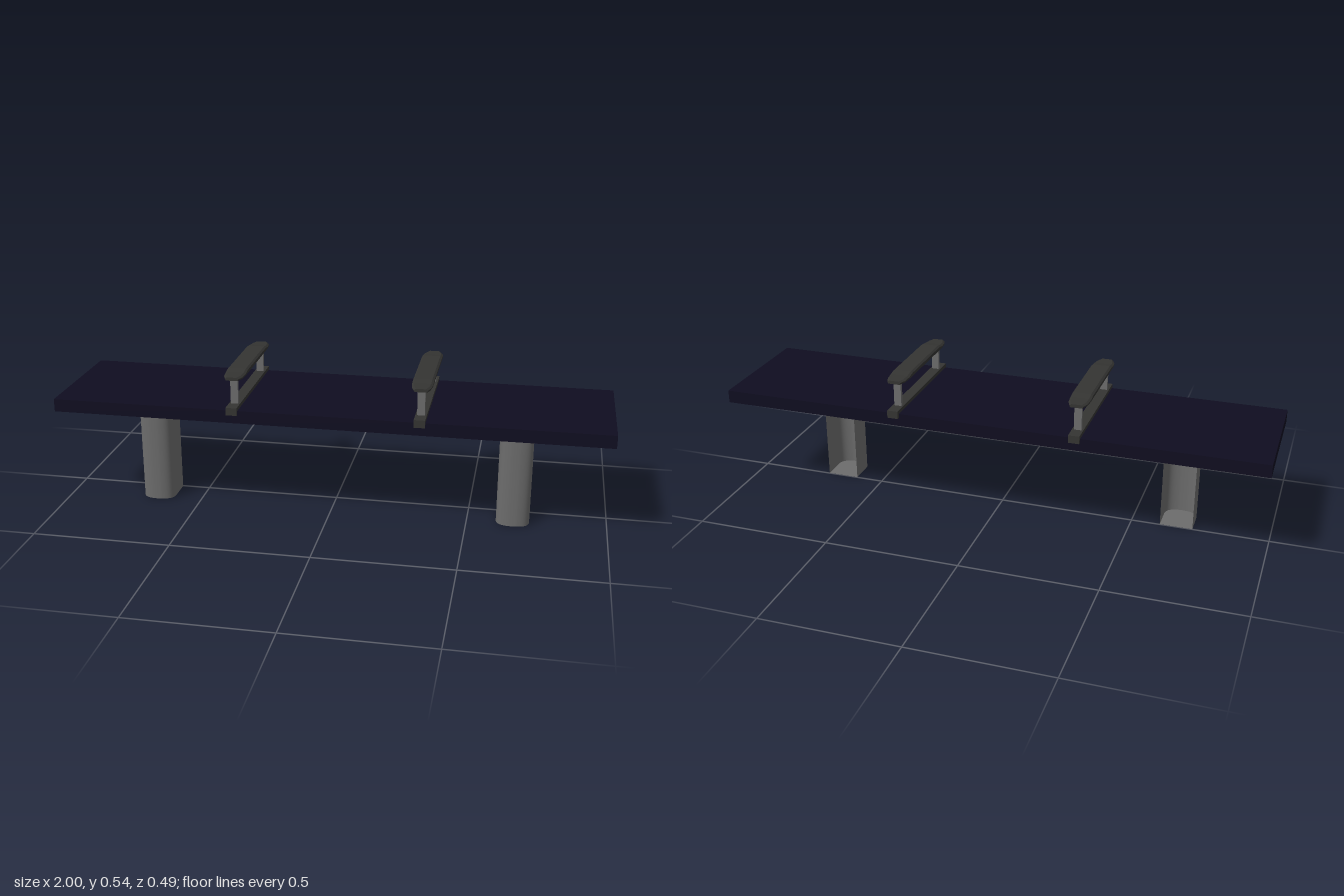
import * as THREE from 'three';

const paint = (color, extra = {}) => {
  const m = new THREE.MeshStandardMaterial({ color, ...extra });
  return m;
};

// Box between two heights whose bottom (or top) rectangle is drawn in
function taperedBox(w, y0, y1, d, insetX, insetZ) {
  const g = new THREE.BoxGeometry(w, y1 - y0, d).toNonIndexed();
  const p = g.attributes.position;
  for (let i = 0; i < p.count; i++) {
    if (p.getY(i) > 0) continue;
    p.setX(i, p.getX(i) - Math.sign(p.getX(i)) * insetX);
    p.setZ(i, p.getZ(i) - Math.sign(p.getZ(i)) * insetZ);
  }
  g.translate(0, (y0 + y1) / 2, 0);
  g.computeVertexNormals();
  return g;
}

// Armrest pad: cross-sections [z, half width, top height] joined along z
function padGeometry() {
  const half = [[0.135, 0.037, 0.541], [0.165, 0.037, 0.536], [0.195, 0.034, 0.534], [0.221, 0.024, 0.533]];
  const stations = [...half.map(([z, w, t]) => [-z, w, t]).reverse(), ...half];
  const rings = stations.map(([z, w, t]) => [
    [-w + 0.003, 0.521], [w - 0.003, 0.521], [w, 0.526], [w, t - 0.005],
    [w - 0.007, t], [-w + 0.007, t], [-w, t - 0.005], [-w, 0.526],
  ].map(([x, y]) => [x, y, z]));
  const pos = [];
  const tri = (...c) => c.forEach((v) => pos.push(...v));
  const n = rings[0].length;
  for (let s = 0; s < rings.length - 1; s++) {
    for (let i = 0; i < n; i++) {
      const j = (i + 1) % n, a = rings[s], b = rings[s + 1];
      tri(a[i], a[j], b[j]);
      tri(a[i], b[j], b[i]);
    }
  }
  // Flat ends
  const first = rings[0], last = rings[rings.length - 1];
  for (let i = 1; i < n - 1; i++) {
    tri(first[0], first[i + 1], first[i]);
    tri(last[0], last[i], last[i + 1]);
  }
  const g = new THREE.BufferGeometry();
  g.setAttribute('position', new THREE.Float32BufferAttribute(pos, 3));
  g.computeVertexNormals();
  return g;
}

// Leg plan: straight sides, rounded front corners, back edge at z = 0
function legPlan() {
  const s = new THREE.Shape();
  s.moveTo(-0.06, 0);
  s.lineTo(-0.06, 0.04);
  s.lineTo(-0.06, 0.085);
  s.bezierCurveTo(-0.06, 0.112, -0.045, 0.124, -0.018, 0.129);
  s.quadraticCurveTo(0, 0.131, 0.018, 0.129);
  s.bezierCurveTo(0.045, 0.124, 0.06, 0.112, 0.06, 0.085);
  s.lineTo(0.06, 0.04);
  s.lineTo(0.06, 0);
  return s;
}

// Thin wall following the plan, open at the back
function legWall(plan, height) {
  const pts = plan.getPoints(8);
  const g = new THREE.PlaneGeometry(1, height, pts.length - 1, 1);
  const p = g.attributes.position;
  for (let i = 0; i < p.count; i++) {
    const q = pts[i % pts.length];
    p.setXYZ(i, q.x, p.getY(i) + height / 2, q.y);
  }
  g.computeVertexNormals();
  return g;
}

export function createModel() {
  const root = new THREE.Group();
  root.name = 'bench';
  const navy = paint(0x0f0d20);
  const underside = paint(0x1b1b1b);
  const dark = paint(0x343432);
  const steel = paint(0x6c6c6c, { side: THREE.DoubleSide });

  const add = (parent, name, geometry, material, x = 0, y = 0, z = 0) => {
    const m = new THREE.Mesh(geometry, material);
    m.name = name;
    m.position.set(x, y, z);
    parent.add(m);
    return m;
  };

  // Three seat panels with bevelled undersides
  const third = 2 / 3;
  const seatGeo = new THREE.BoxGeometry(third, 0.047, 0.468);
  const underGeo = taperedBox(third, 0.342, 0.367, 0.468, 0.038, 0.07);
  for (const i of [-1, 0, 1]) {
    add(root, 'seatPanel', seatGeo, navy, i * third, 0.3905, 0.002);
    add(root, 'seatUnderside', underGeo, underside, i * third, 0, 0.002);
  }

  // Armrests over the two panel joints
  const pad = padGeometry();
  const barGeo = new THREE.BoxGeometry(0.04, 0.028, 0.489);
  const postGeo = new THREE.BoxGeometry(0.027, 0.1, 0.013);
  for (const side of [-1, 1]) {
    const arm = new THREE.Group();
    arm.name = side > 0 ? 'leftArmrest' : 'rightArmrest';
    arm.position.set(side / 3, 0, 0.002);
    add(arm, 'armrestPad', pad, dark);
    add(arm, 'armrestBar', barGeo, dark, 0, 0.413, -0.001);
    for (const z of [-0.187, 0.187]) add(arm, 'armrestPost', postGeo, steel, 0, 0.474, z);
    root.add(arm);
  }

  // Open-backed legs with a floor plate
  const plan = legPlan();
  const wall = legWall(plan, 0.345);
  const plate = new THREE.ShapeGeometry(plan, 8).rotateX(Math.PI / 2);
  for (const side of [-1, 1]) {
    const leg = new THREE.Group();
    leg.name = side > 0 ? 'leftLeg' : 'rightLeg';
    leg.position.set(side * 0.665, 0, 0.002);
    add(leg, 'legWall', wall, steel);
    add(leg, 'legBasePlate', plate, steel);
    root.add(leg);
  }
  return root;
}
